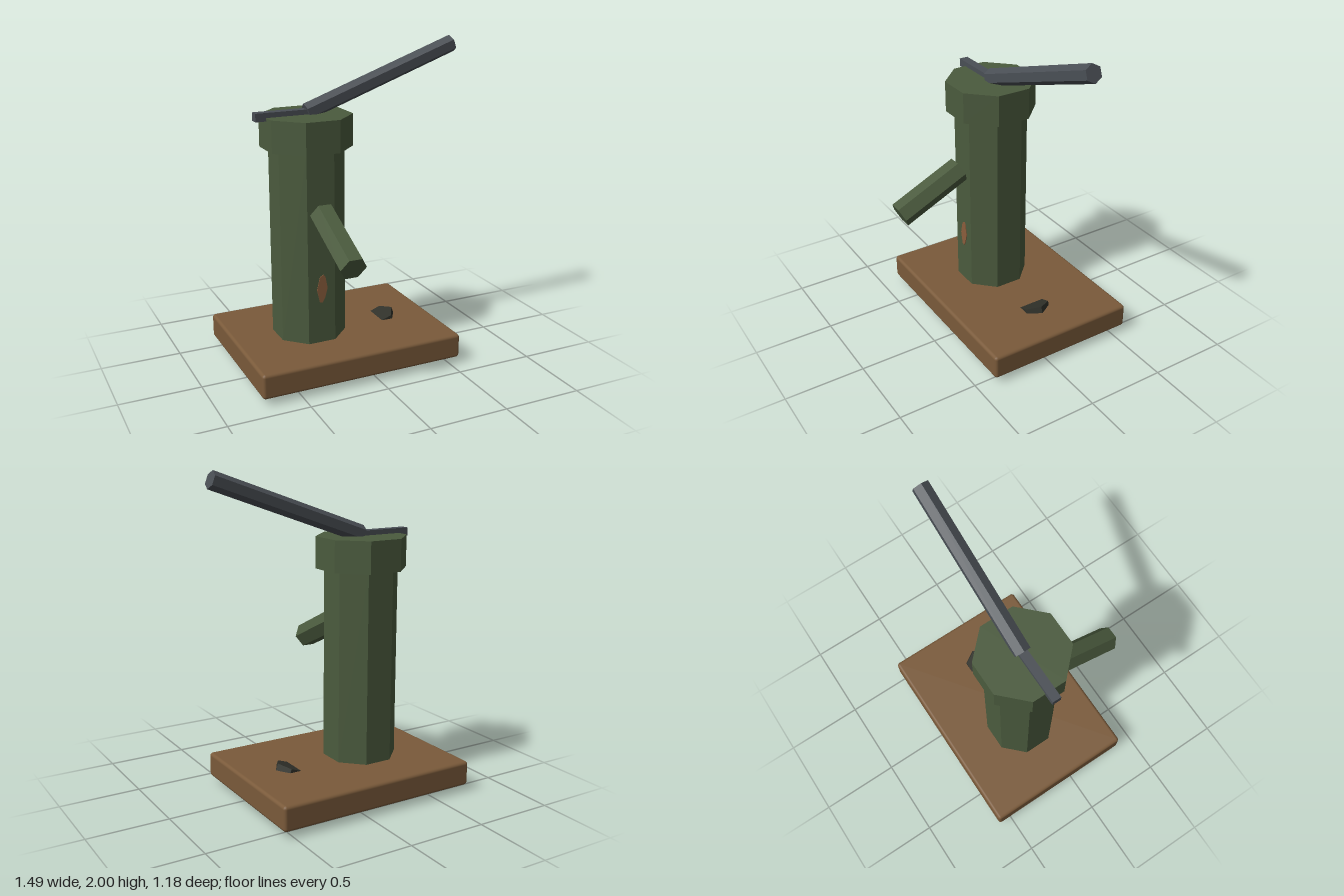
import * as THREE from 'three';
import { RoundedBoxGeometry } from 'three/addons/geometries/RoundedBoxGeometry.js';

const paint = (name, color, flatShading = true) => {
  const m = new THREE.MeshStandardMaterial({ color, flatShading });
  m.name = name;
  return m;
};

export function createModel() {
  const green = paint('greenPaint', 0x4b5b3e);
  const wood = paint('wood', 0x7a5a3a, false);
  const steel = paint('darkSteel', 0x4a4f55);
  const iron = paint('blackIron', 0x30312a);
  const rust = paint('rust', 0x8b5e3c);

  const model = new THREE.Group();
  model.name = 'handPump';
  const cx = -0.26, cz = -0.097; // pump axis

  const add = (name, geometry, material, x = 0, y = 0, z = 0) => {
    const mesh = new THREE.Mesh(geometry, material);
    mesh.name = name;
    mesh.position.set(x, y, z);
    model.add(mesh);
    return mesh;
  };

  // Straight prism between two points, turned so that flats face the z or x axis
  const up = new THREE.Vector3(0, 1, 0);
  const prism = (name, from, to, radius, sides, material) => {
    const a = new THREE.Vector3(...from), b = new THREE.Vector3(...to);
    const dir = b.clone().sub(a);
    const g = new THREE.CylinderGeometry(radius, radius, dir.length(), sides);
    g.rotateY(Math.PI / sides);
    const mesh = add(name, g, material);
    mesh.position.copy(a).add(b).multiplyScalar(0.5);
    mesh.quaternion.setFromUnitVectors(up, dir.normalize());
    return mesh;
  };

  // Wooden base
  add('base', new RoundedBoxGeometry(1.31, 0.155, 0.98, 2, 0.02), wood, -0.093, 0.122, -0.1);

  // Octagonal column and cap
  prism('column', [cx, 0.19, cz], [cx, 1.4, cz], 0.2285, 8, green);
  prism('cap', [cx, 1.39, cz], [cx, 1.585, cz], 0.28, 8, green);

  // Spout sloping down to the front
  prism('spout', [cx, 1.03, 0.14], [cx, 0.83, 0.5625], 0.081, 6, green);

  // Pump handle and the short rod behind it
  prism('handle', [-0.257, 1.595, cz], [0.728, 1.951, cz], 0.054, 6, steel);
  add('pumpRod', new THREE.BoxGeometry(0.385, 0.05, 0.055), steel, -0.3925, 1.59, cz);

  // Tilted iron block set through the base
  const t = THREE.MathUtils.degToRad(20), h = 0.09;
  const dx = -Math.sin(t) * h, dy = Math.cos(t) * h;
  prism('ironBlock', [0.268 - dx, 0.122 - dy, cz], [0.268 + dx, 0.122 + dy, cz], 0.098, 6, iron);

  // Rust patch on the column front
  const patch = new THREE.Shape([
    [-0.25, 0.64], [-0.272, 0.625], [-0.292, 0.545], [-0.274, 0.465],
    [-0.256, 0.462], [-0.24, 0.49], [-0.223, 0.55], [-0.237, 0.625],
  ].map(([x, y]) => new THREE.Vector2(x, y)));
  add('rustPatch', new THREE.ExtrudeGeometry(patch, { depth: 0.006, bevelEnabled: false }), rust, 0, 0, 0.112);

  return model;
}
